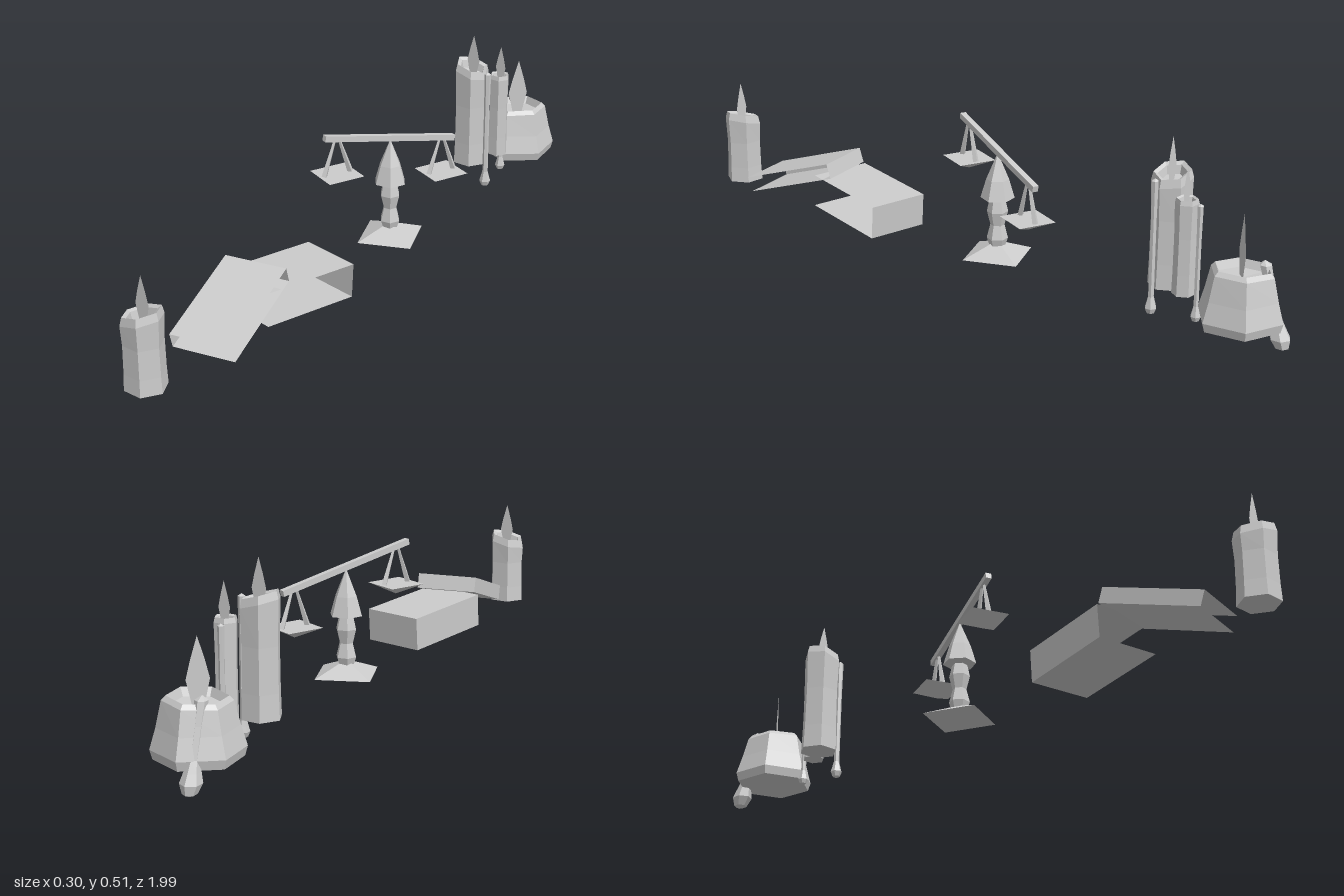
import * as THREE from 'three';

const material = new THREE.MeshStandardMaterial({ color: 0xcccccc, flatShading: true, side: THREE.DoubleSide });

function part(name, geometry, parent, x = 0, y = 0, z = 0) {
  const mesh = new THREE.Mesh(geometry, material);
  mesh.name = name;
  mesh.position.set(x, y, z);
  parent.add(mesh);
  return mesh;
}

const lathe = (profile, sides) =>
  new THREE.LatheGeometry(profile.map(([r, y]) => new THREE.Vector2(r, y)), sides);

// Six-sided wax body with a sunken, slanted top
function waxBody(profile, turn, slant) {
  const geo = lathe(profile, 6).rotateY(turn);
  const pos = geo.attributes.position;
  const bottom = profile[0][1], top = Math.max(...profile.map((p) => p[1]));
  for (let i = 0; i < pos.count; i++) {
    const t = (pos.getY(i) - bottom) / (top - bottom);
    if (t > 0.8) pos.setY(i, pos.getY(i) + slant * pos.getX(i));
  }
  geo.computeVertexNormals();
  return geo;
}

// Flat leaf-shaped flame
function flame(width, height) {
  const s = new THREE.Shape();
  s.moveTo(-width * 0.25, 0);
  s.lineTo(width * 0.25, 0);
  s.lineTo(width * 0.5, height * 0.38);
  s.lineTo(width * 0.3, height * 0.66);
  s.lineTo(0, height);
  s.lineTo(-width * 0.3, height * 0.66);
  s.lineTo(-width * 0.5, height * 0.38);
  return new THREE.ShapeGeometry(s);
}

// Run of melted wax ending in a drop; lean shifts the upper end along z
function drip(r, bottom, top, lean = 0) {
  const h = top - bottom;
  const geo = lathe([[0, bottom], [r * 0.65, bottom + r * 0.25], [r, bottom + r * 1.1], [r * 0.75, bottom + r * 2],
    [r * 0.5, bottom + r * 3], [r * 0.5, bottom + h * 0.7], [r * 0.6, top - r * 0.4], [0, top]], 6);
  const pos = geo.attributes.position;
  for (let i = 0; i < pos.count; i++) {
    const t = (pos.getY(i) - bottom) / h;
    pos.setZ(i, pos.getZ(i) + lean * t);
  }
  geo.computeVertexNormals();
  return geo;
}

// Straight pillar candle
function candle(name, parent, { x, z, r, bottom, top, slant, flameWidth, flameBase, flameTop }) {
  const g = new THREE.Group();
  g.name = name;
  g.position.set(x, 0, z);
  parent.add(g);
  const h = top - bottom;
  part('wax', waxBody([[0, bottom], [r, bottom], [r * 0.96, bottom + h * 0.22], [r * 0.94, bottom + h * 0.6],
    [r, top - r * 0.4], [r * 0.9, top], [r * 0.7, top - r * 0.1], [r * 0.6, top - r * 0.5], [0, top - r * 0.5]],
    0.44, slant), g);
  part('flame', flame(flameWidth, flameTop - flameBase), g, 0.003, flameBase, 0);
  return g;
}

// Book made of two covers and two walls, open on +x and +z
function book(name, parent, w, t, l) {
  const g = new THREE.Group();
  g.name = name;
  g.rotation.order = 'YXZ';
  parent.add(g);
  for (const s of [1, -1])
    part(s > 0 ? 'topCover' : 'bottomCover', new THREE.PlaneGeometry(w, l).rotateX(-s * Math.PI / 2), g, 0, s * t / 2, 0);
  part('sideWall', new THREE.PlaneGeometry(l, t).rotateY(-Math.PI / 2), g, -w / 2, 0, 0);
  part('endWall', new THREE.PlaneGeometry(w, t).rotateY(Math.PI), g, 0, 0, -l / 2);
  return g;
}

// Thin tapered bar between two points
function rod(name, parent, from, to, rFrom, rTo) {
  const a = new THREE.Vector3(...from), b = new THREE.Vector3(...to);
  const d = b.clone().sub(a);
  const mesh = part(name, new THREE.CylinderGeometry(rTo, rFrom, d.length(), 4), parent);
  mesh.position.copy(a).add(b).multiplyScalar(0.5);
  mesh.quaternion.setFromUnitVectors(new THREE.Vector3(0, 1, 0), d.normalize());
}

function balance(parent) {
  const g = new THREE.Group();
  g.name = 'balance';
  g.position.set(0, 0, -0.095);
  g.rotation.y = -0.443;
  parent.add(g);
  // Stand
  part('foot', new THREE.CylinderGeometry(0.022, 0.11, 0.033, 4), g, 0, 0.0865, 0);
  part('post', lathe([[0.022, 0.095], [0.03, 0.12], [0.02, 0.16], [0.03, 0.2], [0.022, 0.235],
    [0.048, 0.24], [0.032, 0.295], [0, 0.372]], 6), g);
  // Tilted beam
  const pitch = 0.205;
  part('beam', new THREE.BoxGeometry(0.017, 0.017, 0.44), g, 0, 0.377, 0).rotation.x = -pitch;
  // Pans hung on two strings each
  for (const s of [1, -1]) {
    const z = s * 0.175, hangY = 0.375 + z * Math.tan(pitch), panY = hangY - 0.106;
    part('pan', new THREE.CylinderGeometry(0.079, 0, 0.03, 4).rotateY(Math.PI / 4), g, 0, panY - 0.015, z);
    for (const e of [1, -1])
      rod('string', g, [0, panY, z + e * 0.042], [0, hangY, z + e * 0.006], 0.009, 0.004);
  }
}

export function createModel() {
  const model = new THREE.Group();
  model.name = 'tableDisplay';

  candle('frontCandle', model, { x: -0.045, z: 0.943, r: 0.057, bottom: 0.068, top: 0.28, slant: 0.25,
    flameWidth: 0.042, flameBase: 0.25, flameTop: 0.38 });

  const tall = candle('tallCandle', model, { x: -0.045, z: -0.63, r: 0.056, bottom: 0.1, top: 0.42, slant: -0.28,
    flameWidth: 0.042, flameBase: 0.385, flameTop: 0.515 });
  part('drip', drip(0.017, 0.03, 0.412), tall, 0.063, 0, 0.014);

  const slim = candle('slimCandle', model, { x: 0.008, z: -0.708, r: 0.032, bottom: 0.11, top: 0.375, slant: 0,
    flameWidth: 0.034, flameBase: 0.355, flameTop: 0.465 });
  part('drip', drip(0.015, 0.035, 0.365), slim, -0.008, 0, -0.035);

  // Squat candle
  const squat = new THREE.Group();
  squat.name = 'squatCandle';
  squat.position.set(-0.01, 0, -0.868);
  model.add(squat);
  part('wax', waxBody([[0, 0.055], [0.112, 0.06], [0.119, 0.085], [0.103, 0.14], [0.088, 0.205], [0.077, 0.217],
    [0.066, 0.195], [0, 0.19]], 0.1, 0.05), squat);
  part('flame', flame(0.06, 0.175), squat, 0, 0.19, 0.003).rotation.y = Math.PI / 4;
  part('drip', drip(0.029, 0, 0.235, 0.065), squat, -0.04, 0, -0.106);

  // Books
  const thick = book('thickBook', model, 0.185, 0.097, 0.296);
  thick.position.set(-0.008, 0.123, 0.392);
  thick.rotation.set(-0.065, -0.236, 0);
  const thin = book('thinBook', model, 0.182, 0.045, 0.305);
  thin.position.set(-0.01, 0.165, 0.645);
  thin.rotation.set(0.3, 0.142, 0);

  balance(model);
  return model;
}
